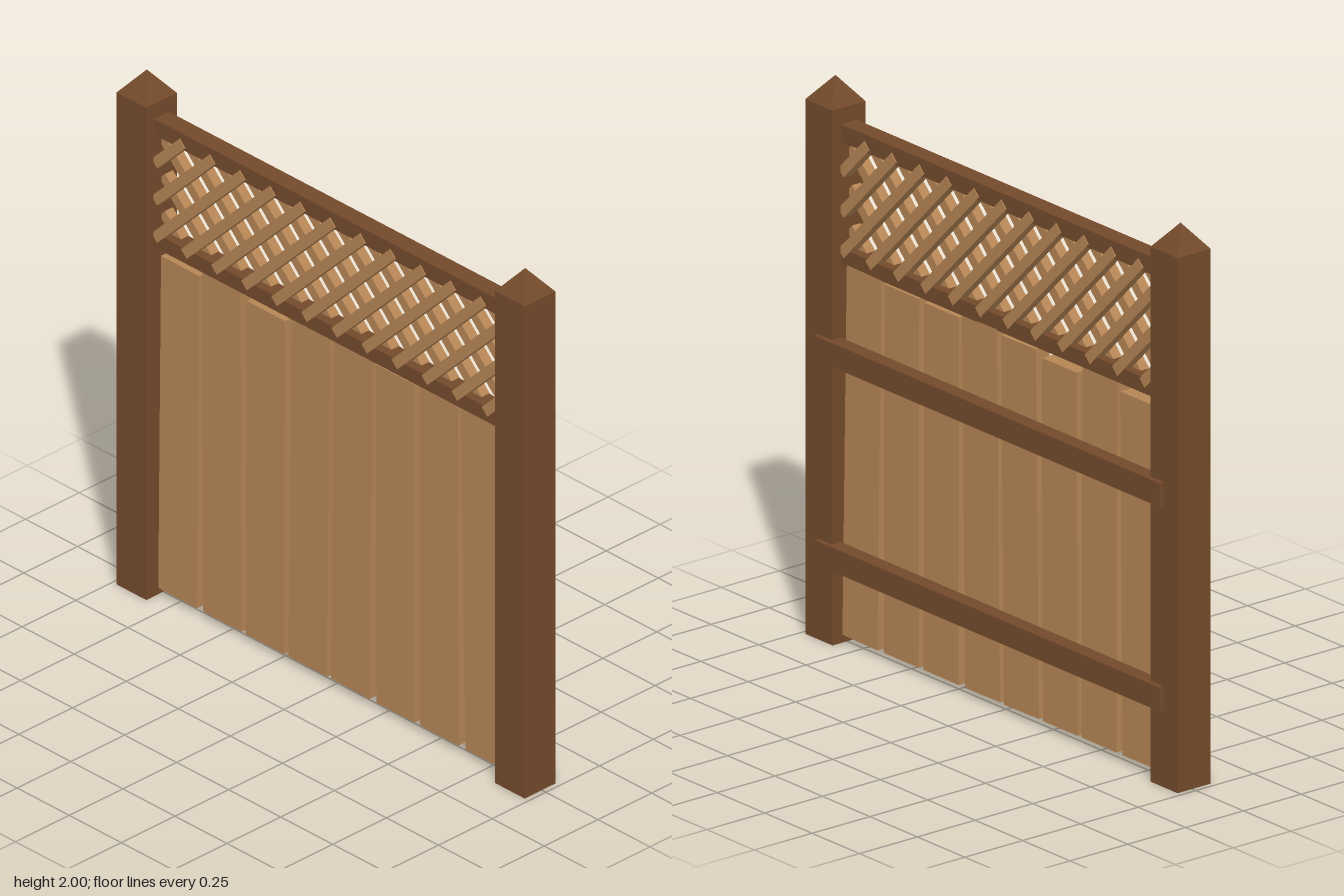
import * as THREE from 'three';

export function createModel() {
  const group = new THREE.Group();
  const darkWood = new THREE.MeshStandardMaterial({ color: 0x734a2b });
  const lightWood = new THREE.MeshStandardMaterial({ color: 0xb58555 });
  darkWood.name = 'darkWood';
  lightWood.name = 'lightWood';
  const midZ = 0.008;

  function box(name, w, h, d, x, y, z, material, tilt = 0) {
    const mesh = new THREE.Mesh(new THREE.BoxGeometry(w, h, d), material);
    mesh.name = name;
    mesh.position.set(x, y, z);
    mesh.rotation.z = tilt;
    group.add(mesh);
    return mesh;
  }

  // Posts with pyramid caps
  const post = 0.143;
  const capGeometry = new THREE.ConeGeometry(post / Math.SQRT2, 0.09, 4, 1).toNonIndexed();
  capGeometry.rotateY(Math.PI / 4);
  capGeometry.computeVertexNormals();
  for (const side of [-1, 1]) {
    box('post', post, 1.91, post, side * 0.909, 0.955, midZ, darkWood);
    const cap = new THREE.Mesh(capGeometry, darkWood);
    cap.name = 'postCap';
    cap.position.set(side * 0.909, 1.955, midZ);
    group.add(cap);
  }

  // Rails framing the lattice
  box('topRail', 1.69, 0.062, 0.068, 0, 1.821, midZ, darkWood);
  box('middleRail', 1.69, 0.056, 0.068, 0, 1.382, midZ, darkWood);

  // Support rails across the back
  for (const y of [0.318, 1.048]) {
    box('backRail', 1.82, 0.085, 0.057, 0, y, -0.0545, darkWood);
  }

  // Slightly crooked planks: [bottom x, top x, top y]
  const planks = [
    [-0.737, -0.724, 1.325], [-0.521, -0.526, 1.357], [-0.317, -0.312, 1.325], [-0.112, -0.097, 1.345],
    [0.092, 0.109, 1.357], [0.311, 0.308, 1.342], [0.521, 0.518, 1.347], [0.739, 0.716, 1.357],
  ];
  for (const [x0, x1, top] of planks) {
    const h = top - 0.03;
    box('plank', 0.184, h, 0.058, (x0 + x1) / 2, 0.03 + h / 2, 0.003, lightWood, -Math.atan((x1 - x0) / h));
  }

  // Diagonal lattice: one layer leaning each way
  const low = 1.39, high = 1.815, edge = 0.835;
  for (let k = 0; k < 14; k++) {
    const c = -2.516 + 0.1444 * k; // each strip follows x - y = c
    const x0 = Math.max(-edge, low + c);
    const x1 = Math.min(edge, high + c);
    const length = (x1 - x0) * Math.SQRT2;
    if (length < 0.02) continue;
    const x = (x0 + x1) / 2;
    for (const side of [1, -1]) {
      box('latticeStrip', length, 0.038, 0.037, side * x, x - c, midZ + side * 0.0185, lightWood, side * Math.PI / 4);
    }
  }
  return group;
}
